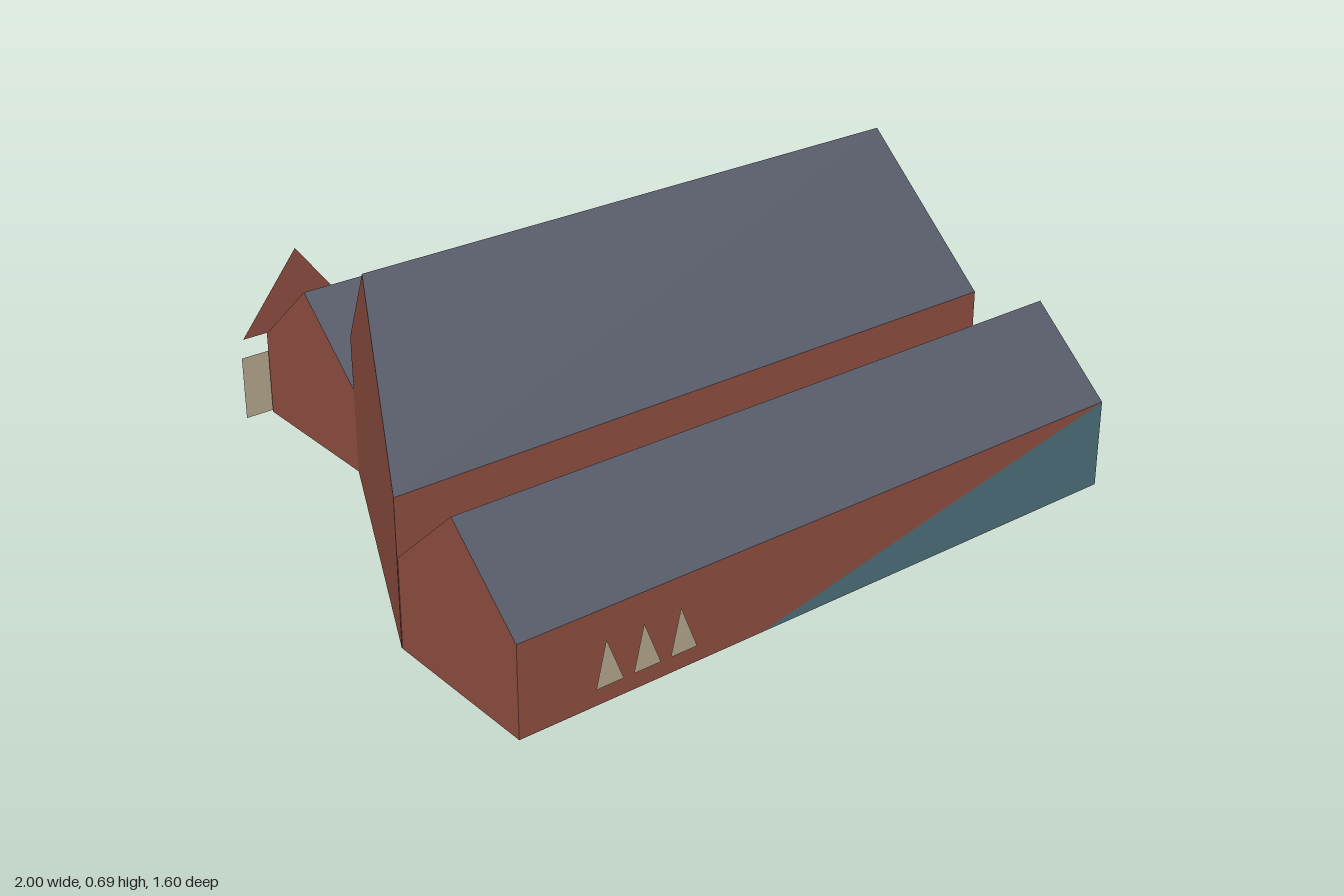
import * as THREE from 'three';

const mat = (name, color) => {
  const m = new THREE.MeshStandardMaterial({ color, side: THREE.DoubleSide });
  m.name = name;
  return m;
};

// Flat convex polygons, each a list of [x, y, z] corners, fanned into triangles
function faces(polys) {
  const pos = [];
  for (const p of polys)
    for (let i = 1; i < p.length - 1; i++) pos.push(...p[0], ...p[i], ...p[i + 1]);
  const g = new THREE.BufferGeometry();
  g.setAttribute('position', new THREE.Float32BufferAttribute(pos, 3));
  g.computeVertexNormals();
  return g;
}

export function createModel() {
  const model = new THREE.Group();
  model.name = 'church';
  const brick = mat('brick', 0x904f41);
  const slate = mat('slate', 0x555a67);
  const teal = mat('teal', 0x4f707c);
  const stone = mat('pale stone', 0xb5a88e);

  const add = (parent, name, polys, material) => {
    const m = new THREE.Mesh(faces(polys), material);
    m.name = name;
    parent.add(m);
  };

  // Gabled hall with its ridge along x; left(z) gives the x of its -x end
  function hall(name, o) {
    const { left, right, zf, zb, hf, hb, rz, ry } = o;
    const group = new THREE.Group();
    group.name = name;
    const L = (y, z) => [left(z), y, z];
    const R = (y, z) => [right, y, z];
    const walls = [
      [R(0, zf), R(0, zb), R(hb, zb), R(ry, rz), R(hf, zf)],
      [L(0, zb), L(0, zf), L(hf, zf), L(ry, rz), L(hb, zb)],
    ];
    if (o.front) walls.push([L(0, zf), R(0, zf), R(hf, zf), L(hf, zf)]);
    if (o.back) walls.push([R(0, zb), L(0, zb), L(hb, zb), R(hb, zb)]);
    add(group, name + 'Walls', walls, brick);
    add(group, name + 'Roof', [
      [L(hf, zf), R(hf, zf), R(ry, rz), L(ry, rz)],
      [R(hb, zb), L(hb, zb), L(ry, rz), R(ry, rz)],
    ], slate);
    model.add(group);
  }

  // Nave with a skewed west end
  hall('nave', {
    left: (z) => -0.827 - z * 0.47, right: 0.69, zf: 0.37, zb: -0.365,
    hf: 0.36, hb: 0.36, rz: 0.003, ry: 0.688, front: true, back: true,
  });

  // Front aisle; its outer wall is split between brick and teal
  hall('frontAisle', {
    left: () => -1, right: 0.69, zf: 0.795, zb: 0.372,
    hf: 0.22, hb: 0.22, rz: 0.582, ry: 0.408,
  });
  const zw = 0.795, split = [-0.37, 0, zw], corner = [0.69, 0.22, zw];
  add(model, 'frontAisleWall', [[[-1, 0, zw], split, corner, [-1, 0.22, zw]]], brick);
  add(model, 'frontTealPanel', [[split, [0.69, 0, zw], corner]], teal);

  // Back aisle in three sections, the middle one with a shifted ridge
  const sections = [[-0.655, -0.262, -0.575, 0.22], [-0.262, 0.497, -0.553, 0.25], [0.497, 0.69, -0.575, 0.22]];
  sections.forEach(([x0, x1, rz, hf], i) => hall('backAisle' + (i + 1), {
    left: () => x0, right: x1, zf: -0.365, zb: -0.782,
    hf, hb: 0.22, rz, ry: 0.403, back: true,
  }));

  // Cross walls inside the back aisle
  for (const x of [0.3, 0.1, -0.1])
    add(model, 'crossWall', [[[x, 0, -0.366], [x, 0, -0.781], [x, 0.22, -0.781], [x, 0.22, -0.366]]], brick);

  // Side annex
  hall('sideAnnex', {
    left: () => 0.69, right: 1, zf: 0.005, zb: -0.395,
    hf: 0.22, hb: 0.22, rz: -0.195, ry: 0.408, front: true, back: true,
  });

  // Pointed windows, as thin triangles just off the walls
  const windows = (name, xs, z, facing) => add(model, name, xs.map((x) => [
    [x - 0.035 * facing, 0.04, z], [x + 0.035 * facing, 0.04, z], [x - 0.008, 0.148, z],
  ]), stone);
  windows('frontWindows', [-0.777, -0.681, -0.585], zw + 0.003, 1);
  windows('innerFrontWindows', [0.42, 0.33, 0.05, -0.04, -0.13, -0.36], zw - 0.003, -1);
  windows('backWindows', [0.64, 0.55, 0.455, 0.36, 0.27, 0.18, 0.085, -0.095, -0.185], -0.785, -1);
  windows('annexWindows', [0.755, 0.845, 0.935], -0.398, -1);

  // Porch gable and door panel at the back
  add(model, 'porchGable', [[[-0.4, 0.22, -0.786], [-0.72, 0.22, -0.786], [-0.56, 0.43, -0.779]]], brick);
  const panel = (name, x0, x1, z, h, m) => add(model, name, [[[x1, 0, z], [x0, 0, z], [x0, h, z], [x1, h, z]]], m);
  panel('doorPanel', -0.72, -0.49, -0.797, 0.16, teal);
  panel('doorSurround', -0.725, -0.475, -0.792, 0.167, stone);

  return model;
}
